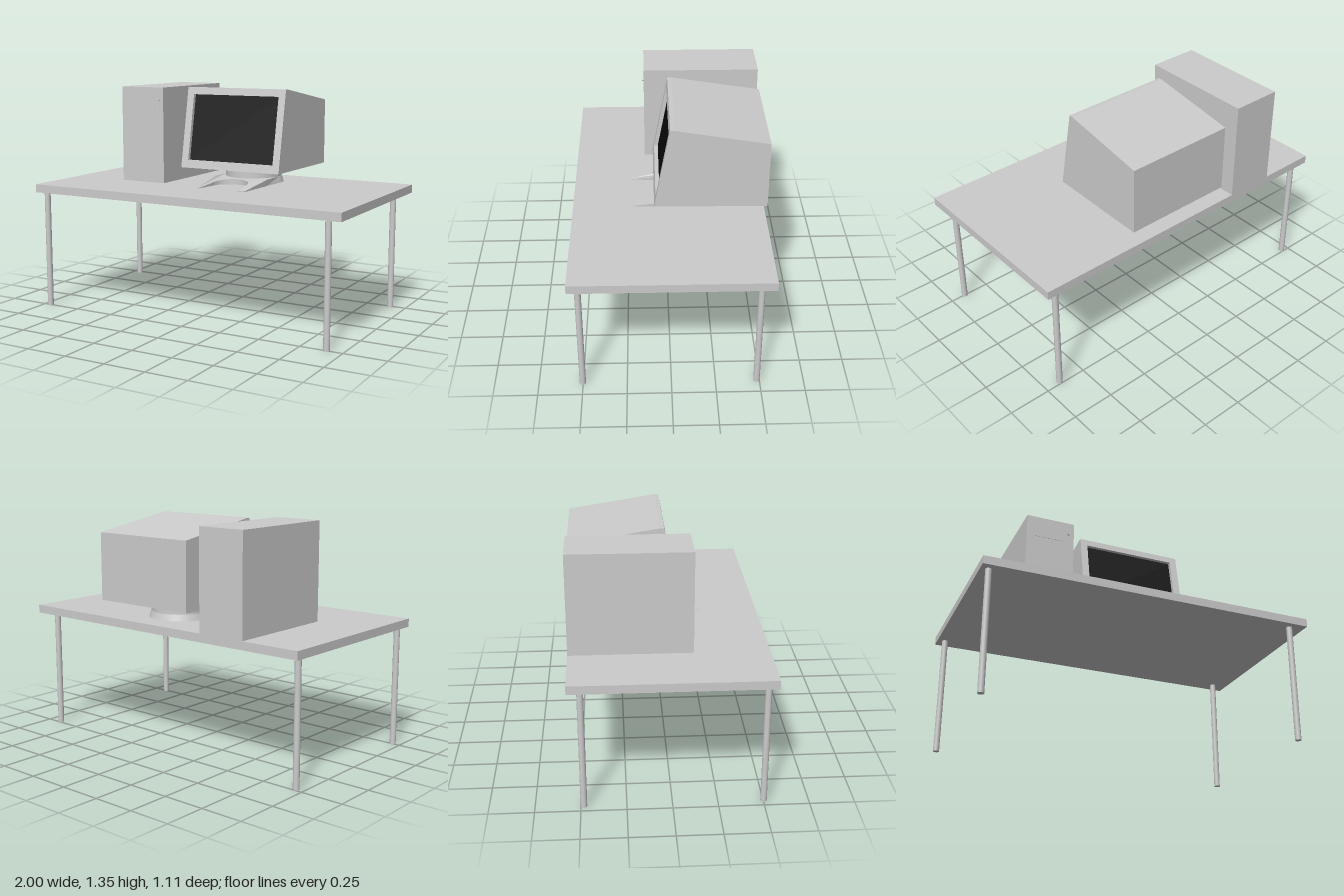
import * as THREE from 'three';

const grey = new THREE.MeshStandardMaterial({ color: 0xcccccc });
const black = new THREE.MeshStandardMaterial({ color: 0x0a0a0a });
const DESK_Y = 0.762;

export function createModel() {
  const root = new THREE.Group();

  const add = (name, geometry, material = grey, parent = root) => {
    const mesh = new THREE.Mesh(geometry, material);
    mesh.name = name;
    parent.add(mesh);
    return mesh;
  };
  const group = (name) => {
    const g = new THREE.Group();
    g.name = name;
    root.add(g);
    return g;
  };
  // box given by its low and high corners
  const boxBetween = (a, b) =>
    new THREE.BoxGeometry(b[0] - a[0], b[1] - a[1], b[2] - a[2])
      .translate((a[0] + b[0]) / 2, (a[1] + b[1]) / 2, (a[2] + b[2]) / 2);
  // move every vertex by a rule
  const reshape = (geometry, rule) => {
    const p = geometry.attributes.position;
    const v = new THREE.Vector3();
    for (let i = 0; i < p.count; i++) {
      rule(v.fromBufferAttribute(p, i));
      p.setXYZ(i, v.x, v.y, v.z);
    }
    geometry.computeVertexNormals();
    return geometry;
  };

  // desk
  const desk = group('desk');
  add('deskTop', boxBetween([-1, 0.713, -0.555], [1, DESK_Y, 0.555]), grey, desk);
  for (const x of [-0.954, 0.907])
    for (const z of [0.502, -0.484])
      add('deskLeg', new THREE.CylinderGeometry(0.018, 0.018, 0.714, 20).translate(x, 0.357, z), grey, desk);

  // computer tower with a drive slot and a power button
  const tower = group('tower');
  add('towerCase', boxBetween([-0.644, DESK_Y, -0.555], [-0.345, 1.345, 0.135]), grey, tower);
  add('driveSlot', boxBetween([-0.595, 1.212, 0.13], [-0.405, 1.216, 0.137]), grey, tower);
  add('powerButton', new THREE.CylinderGeometry(0.008, 0.008, 0.012, 12)
    .rotateX(Math.PI / 2).translate(-0.378, 1.27, 0.138), grey, tower);

  // monitor: the front leans back, the top slopes down to the rear
  const monitor = group('monitor');
  const x0 = -0.25, x1 = 0.41, y0 = 0.861, y1 = 1.345, depth = 0.025;
  const frontZ = (y) => 0.085 - 0.09 * (y - y0) / (y1 - y0);

  add('monitorCase', reshape(new THREE.BoxGeometry(2, 2, 2), (v) => {
    const back = v.z < 0;
    v.x = v.x < 0 ? x0 : back ? 0.417 : x1;
    v.y = v.y < 0 ? y0 : back ? 1.26 : y1;
    v.z = back ? -0.555 : frontZ(v.y) - depth;
  }), grey, monitor);

  const rectangle = (path, a, b, c, d) =>
    path.moveTo(a, b).lineTo(c, b).lineTo(c, d).lineTo(a, d).closePath();
  const frameShape = rectangle(new THREE.Shape(), x0, y0, x1, y1);
  frameShape.holes.push(rectangle(new THREE.Path(), -0.206, 0.907, 0.366, 1.303));
  add('screenFrame', reshape(
    new THREE.ExtrudeGeometry(frameShape, { depth, bevelEnabled: false }),
    (v) => { v.z += frontZ(v.y) - depth; }), grey, monitor);

  add('screen', reshape(
    new THREE.PlaneGeometry(0.572, 0.396).translate(0.08, 1.105, 0),
    (v) => { v.z = frontZ(v.y) - depth + 0.002; }), black, monitor);

  // swivel stand
  const cx = 0.08, cz = -0.24;
  const stand = group('monitorStand');
  add('swivel', new THREE.CylinderGeometry(0.173, 0.173, 0.064, 48).translate(cx, 0.83, cz), grey, stand);

  // foot: round at the back, two prongs at the front with an arch between them
  // (drawn around the swivel centre, shape y = forward)
  const foot = new THREE.Shape();
  foot.moveTo(-0.186, 0);
  foot.absarc(0, 0, 0.186, Math.PI, Math.PI * 2, false);
  foot.lineTo(0.178, 0.17).lineTo(0.172, 0.43);
  foot.quadraticCurveTo(0.145, 0.46, 0.122, 0.43);
  foot.lineTo(0.112, 0.3);
  foot.bezierCurveTo(0.09, 0.18, -0.09, 0.18, -0.112, 0.3);
  foot.lineTo(-0.126, 0.45).lineTo(-0.138, 0.47).lineTo(-0.178, 0.17);
  foot.closePath();
  const footGeometry = new THREE.ExtrudeGeometry(foot, { depth: 1, bevelEnabled: false, curveSegments: 32 });
  add('standFoot', reshape(footGeometry, (v) => {
    const top = v.z > 0.5;
    const forward = v.y;
    const shrink = top && forward <= 0 ? 0.94 : 1;
    const ramp = THREE.MathUtils.clamp((0.475 - forward) / 0.305, 0, 1);
    v.set(cx + v.x * shrink, DESK_Y + (top ? 0.038 * ramp : 0), cz + forward * shrink);
  }), new THREE.MeshStandardMaterial({ color: 0xcccccc, side: THREE.DoubleSide }), stand);
  // the swap of axes turns the faces over, so reverse their corners
  const p = footGeometry.attributes.position;
  const a = new THREE.Vector3(), b = new THREE.Vector3();
  for (let i = 0; i < p.count; i += 3) {
    a.fromBufferAttribute(p, i);
    b.fromBufferAttribute(p, i + 1);
    p.setXYZ(i, b.x, b.y, b.z);
    p.setXYZ(i + 1, a.x, a.y, a.z);
  }
  footGeometry.computeVertexNormals();

  return root;
}
